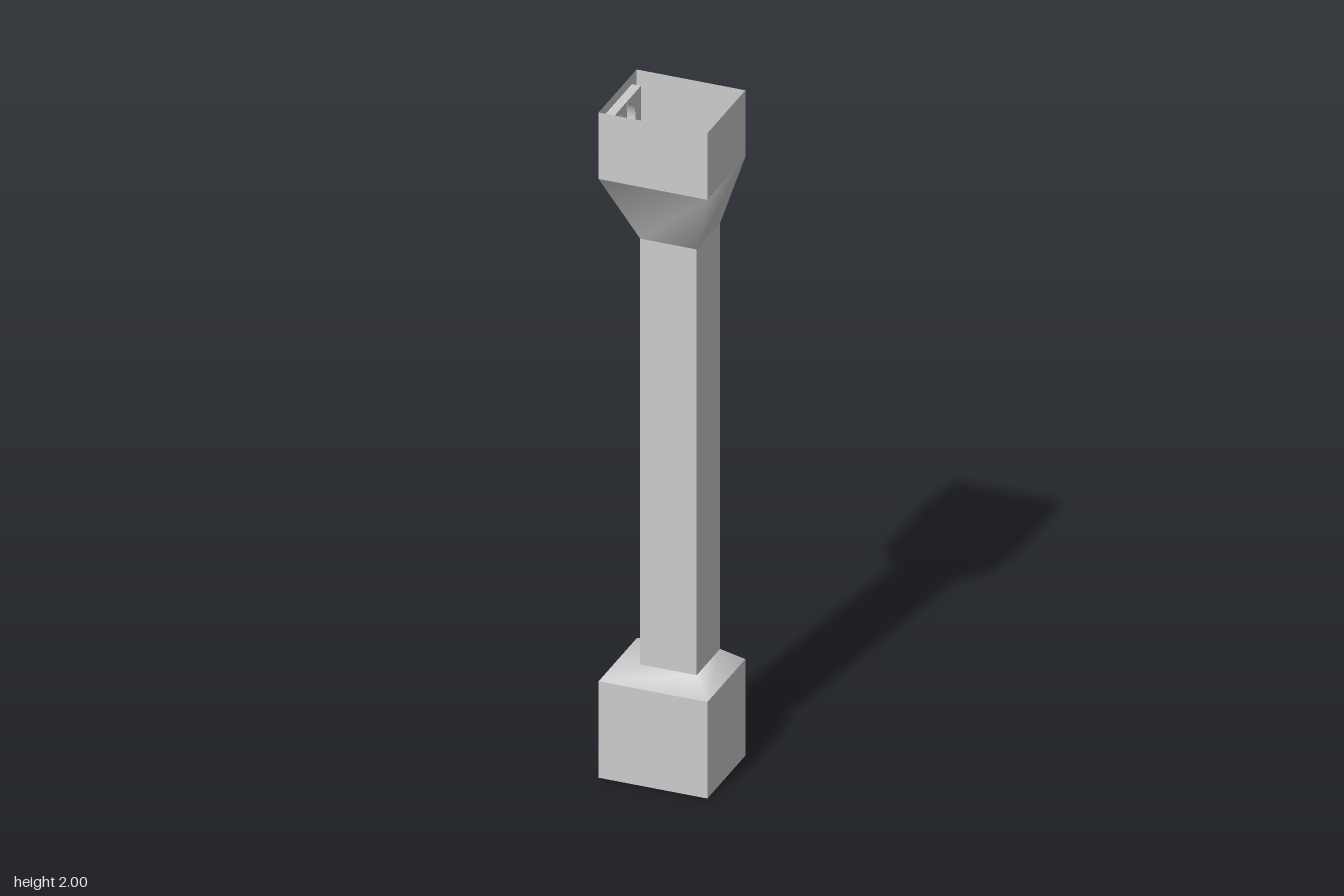
import * as THREE from 'three';

const material = new THREE.MeshStandardMaterial({ color: 0xcccccc, side: THREE.DoubleSide });

// Cross-sections: [xMin, xMax, zMin, zMax]
const BLOCK = [-0.157, 0.156, -0.133, 0.133];
const SHAFT = [-0.059, 0.104, -0.082, 0.081];

// Side walls between two rectangles; sides: 0 front, 1 left (+x), 2 back, 3 right (-x)
function walls(lower, y0, upper, y1, { smooth = false, sides = [0, 1, 2, 3] } = {}) {
  const ring = ([x0, x1, z0, z1], y) => [[x0, y, z1], [x1, y, z1], [x1, y, z0], [x0, y, z0]];
  const points = [...ring(lower, y0), ...ring(upper, y1)].flat();
  const index = sides.flatMap((i) => {
    const j = (i + 1) % 4;
    return [i, j, j + 4, i, j + 4, i + 4];
  });
  let geometry = new THREE.BufferGeometry();
  geometry.setAttribute('position', new THREE.Float32BufferAttribute(points, 3));
  geometry.setIndex(index);
  if (!smooth) geometry = geometry.toNonIndexed();
  geometry.computeVertexNormals();
  return geometry;
}

// Flat outline in the (z, y) plane, turned to face -x
function sidePlate(shape, x) {
  return new THREE.ShapeGeometry(shape, 32).rotateY(-Math.PI / 2).translate(x, 0, 0);
}

function rectangle(z0, z1, y0, y1, Type = THREE.Shape) {
  return new Type([[z0, y0], [z1, y0], [z1, y1], [z0, y1]].map(([z, y]) => new THREE.Vector2(z, y)));
}

export function createModel() {
  const model = new THREE.Group();
  const add = (name, geometry, parent = model) => {
    const mesh = new THREE.Mesh(geometry, material);
    mesh.name = name;
    parent.add(mesh);
    return mesh;
  };

  // Base block with closed underside
  add('baseBlock', walls(BLOCK, 0, BLOCK, 0.29));
  const [x0, x1, z0, z1] = BLOCK;
  add('baseUnderside', new THREE.PlaneGeometry(x1 - x0, z1 - z0)
    .rotateX(Math.PI / 2).translate((x0 + x1) / 2, 0, (z0 + z1) / 2));

  // Sloped shoulder, hollow shaft and flared neck
  add('baseShoulder', walls(BLOCK, 0.29, SHAFT, 0.335, { smooth: true }));
  add('shaft', walls(SHAFT, 0.335, SHAFT, 1.615));
  add('flaredNeck', walls(SHAFT, 1.615, BLOCK, 1.8, { smooth: true }));

  // Open-topped head; its -x wall has a rectangular window
  add('headWalls', walls(BLOCK, 1.8, BLOCK, 2, { sides: [0, 1, 2] }));
  const frame = rectangle(z0, z1, 1.8, 2);
  frame.holes.push(rectangle(-0.1, 0.1, 1.828, 1.972, THREE.Path));
  add('windowWall', sidePlate(frame, x0));

  // Recess behind the window, with a round boss pushed out of its panel
  const recess = new THREE.Group();
  recess.name = 'windowRecess';
  model.add(recess);
  const depth = 0.026, panelX = x0 + depth, radius = 0.062, bossDepth = 0.024;
  add('recessSides', walls([x0, panelX, -0.1, 0.1], 1.828, [x0, panelX, -0.1, 0.1], 1.972, { sides: [0, 2] }), recess);
  for (const [name, y] of [['recessSill', 1.828], ['recessTop', 1.972]]) {
    add(name, new THREE.PlaneGeometry(depth, 0.2).rotateX(-Math.PI / 2).translate(x0 + depth / 2, y, 0), recess);
  }
  const panel = rectangle(-0.1, 0.1, 1.828, 1.972);
  panel.holes.push(new THREE.Path().absarc(0, 1.9, radius, 0, Math.PI * 2, true));
  add('recessPanel', sidePlate(panel, panelX), recess);
  add('bossRim', new THREE.CylinderGeometry(radius, radius, bossDepth, 32, 1, true)
    .rotateZ(Math.PI / 2).translate(panelX - bossDepth / 2, 1.9, 0), recess);
  add('bossFace', new THREE.CircleGeometry(radius, 32)
    .rotateY(-Math.PI / 2).translate(panelX - bossDepth, 1.9, 0), recess);

  return model;
}
